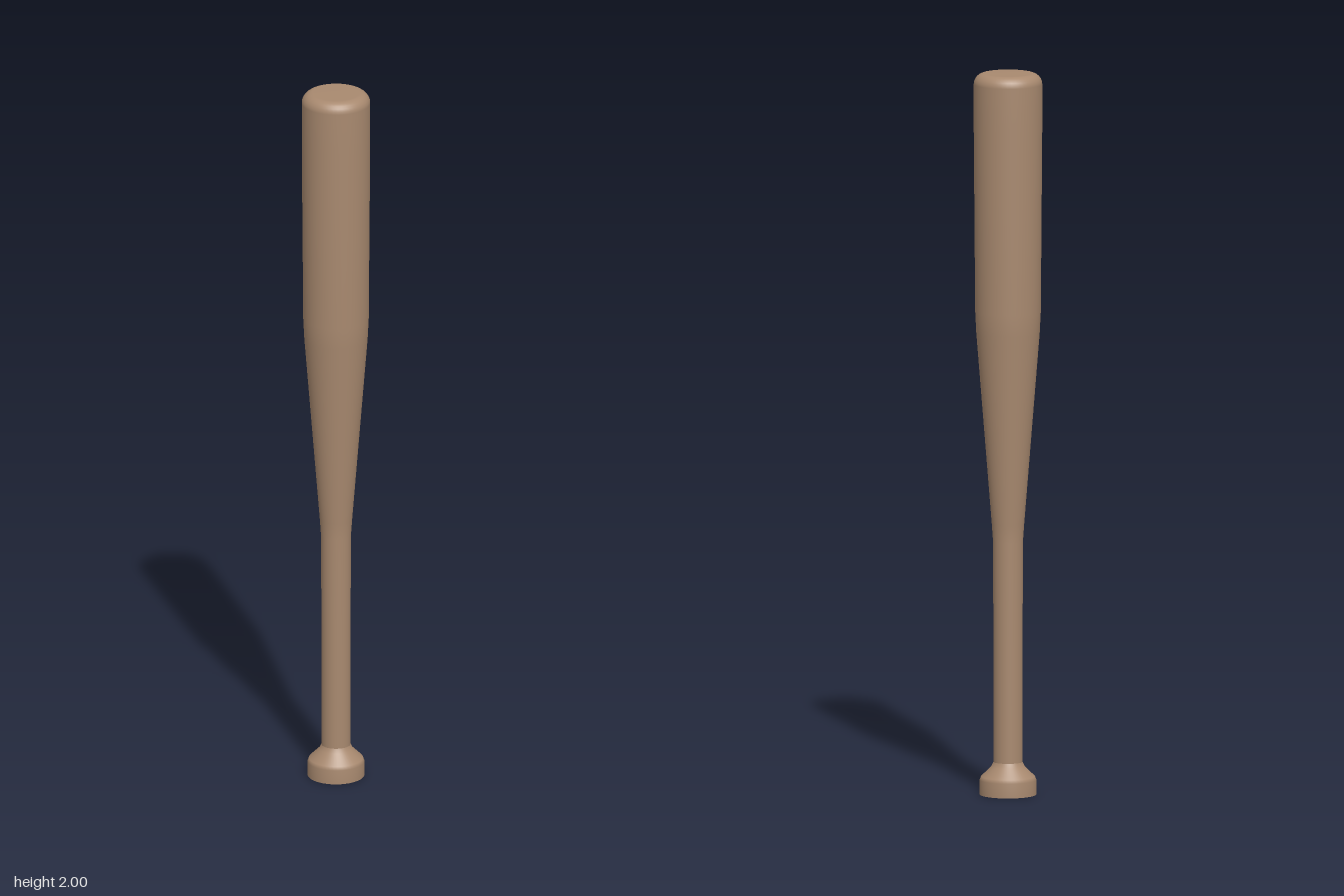
import * as THREE from 'three';

const SEGMENTS = 48;

// Turned part from [radius, height] pairs, listed bottom to top
function turned(name, profile, material) {
  const points = profile.map(([r, y]) => new THREE.Vector2(r, y));
  const mesh = new THREE.Mesh(new THREE.LatheGeometry(points, SEGMENTS), material);
  mesh.name = name;
  return mesh;
}

export function createModel() {
  const group = new THREE.Group();
  group.name = 'baseballBat';

  const wood = new THREE.MeshStandardMaterial({ color: 0xa8896f });
  wood.name = 'wood';

  // Knob: short upright rim, then a slope up to the handle
  group.add(turned('knob', [
    [0.078, 0], [0.078, 0.04], [0.074, 0.05], [0.046, 0.077], [0.04, 0.09],
  ], wood));

  // Flat underside of the knob
  const base = new THREE.Mesh(new THREE.CircleGeometry(0.078, SEGMENTS), wood);
  base.name = 'knobBase';
  base.rotation.x = Math.PI / 2;
  group.add(base);

  // Handle, taper and barrel
  const profile = [
    [0.04, 0.09], [0.04, 0.4], [0.041, 0.7], [0.0445, 0.75],
    [0.087, 1.28], [0.09, 1.34], [0.092, 1.6], [0.094, 1.85],
  ];
  // Rounded end of the barrel
  const round = 0.03;
  for (let i = 0; i <= 6; i++) {
    const a = (i / 6) * Math.PI / 2;
    profile.push([0.094 - round + round * Math.cos(a), 2 - round + round * Math.sin(a)]);
  }
  profile.push([0, 2]);
  group.add(turned('handleAndBarrel', profile, wood));

  return group;
}
